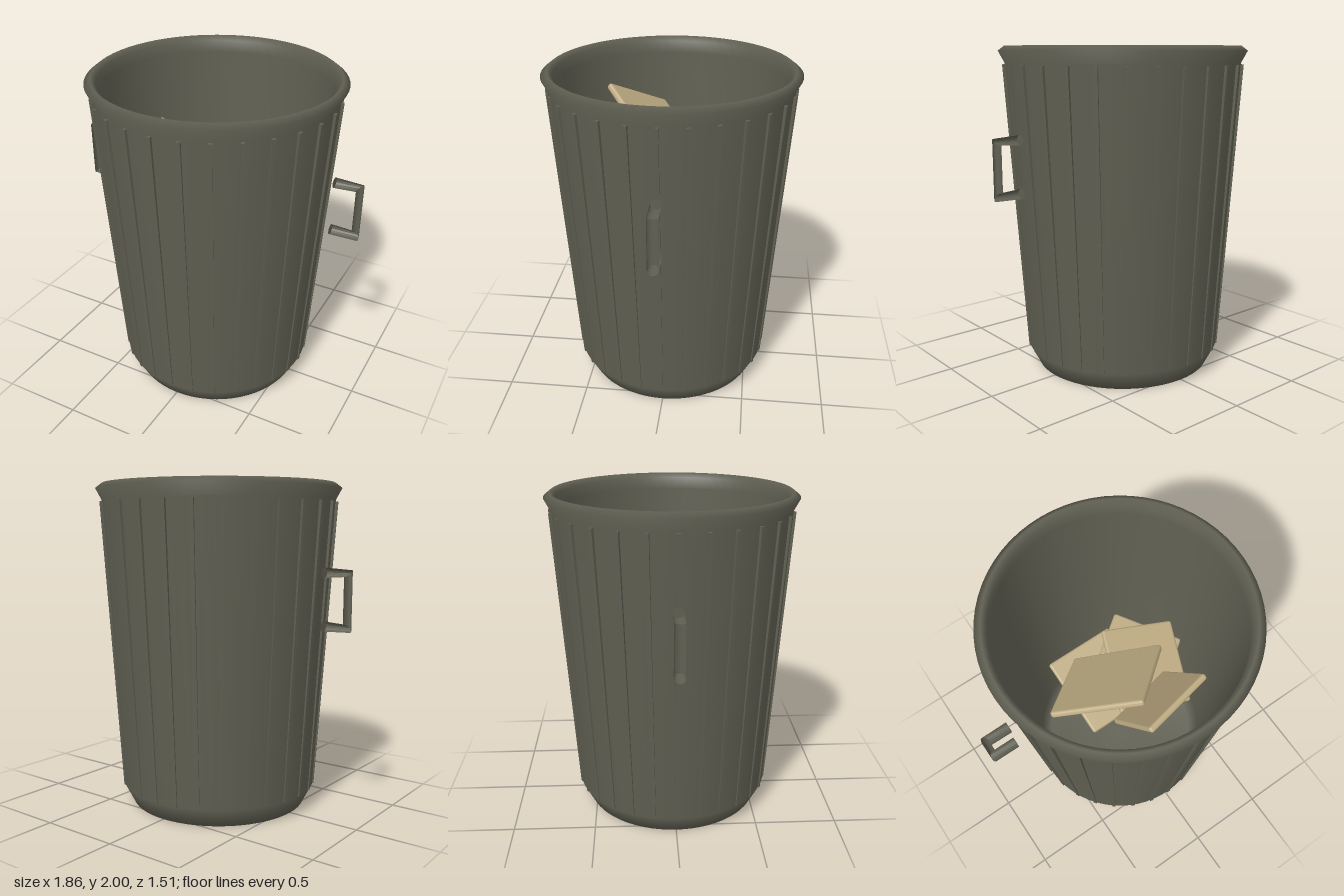
import * as THREE from 'three';
import { RoundedBoxGeometry } from 'three/addons/geometries/RoundedBoxGeometry.js';

const plastic = new THREE.MeshStandardMaterial({ name: 'olive grey plastic', color: 0x605f52 });
const paper = new THREE.MeshStandardMaterial({ name: 'tan card', color: 0xbdab82 });

function add(parent, name, geometry, material) {
  const mesh = new THREE.Mesh(geometry, material);
  mesh.name = name;
  parent.add(mesh);
  return mesh;
}

// One lathed shell: base, outer wall, rolled rim, inner wall, inner floor
function shellGeometry() {
  const profile = [
    [0, 0], [0.55, 0], [0.612, 0.12], [0.72, 1.9], [0.757, 1.97], [0.718, 2.0],
    [0.69, 1.97], [0.685, 1.9], [0.575, 0.14], [0.52, 0.05], [0, 0.05],
  ].map(([r, y]) => new THREE.Vector2(r, y));
  return new THREE.LatheGeometry(profile, 64);
}

// Handle: elliptical cross-sections, each given by its outer and inner point,
// mitred at the two corners
function handleGeometry() {
  const sections = [
    [0.755, 1.508, 0.755, 1.448], [0.928, 1.498, 0.886, 1.458],
    [0.928, 1.146, 0.886, 1.19], [0.755, 1.14, 0.755, 1.2],
  ];
  const sides = 16, halfDepth = 0.033, positions = [], index = [];
  for (const [ox, oy, ix, iy] of sections) {
    for (let i = 0; i < sides; i++) {
      const a = (i / sides) * Math.PI * 2, c = Math.cos(a);
      positions.push((ox + ix) / 2 + c * (ox - ix) / 2, (oy + iy) / 2 + c * (oy - iy) / 2,
        halfDepth * Math.sin(a));
    }
  }
  for (let s = 0; s < sections.length - 1; s++) {
    for (let i = 0; i < sides; i++) {
      const a = s * sides + i, b = s * sides + (i + 1) % sides;
      index.push(a, a + sides, b, b, a + sides, b + sides);
    }
  }
  // End caps
  const last = (sections.length - 1) * sides;
  for (let i = 1; i < sides - 1; i++) {
    index.push(0, i, i + 1, last, last + i + 1, last + i);
  }
  const indexed = new THREE.BufferGeometry();
  indexed.setAttribute('position', new THREE.Float32BufferAttribute(positions, 3));
  indexed.setIndex(index);
  // Keep the mitred corners crisp along the length, smooth around it
  const geometry = indexed.toNonIndexed();
  geometry.computeVertexNormals();
  return geometry;
}

// A card lying along directions u and v
function addCard(parent, name, center, u, v) {
  const x = new THREE.Vector3(...u).normalize();
  const y = new THREE.Vector3(...v).cross(x).normalize();
  const z = new THREE.Vector3().crossVectors(x, y);
  const size = (d) => Math.hypot(...d);
  const mesh = add(parent, name, new RoundedBoxGeometry(size(u), 0.04, size(v), 3, 0.016), paper);
  mesh.quaternion.setFromRotationMatrix(new THREE.Matrix4().makeBasis(x, y, z));
  mesh.position.set(...center);
}

export function createModel() {
  const model = new THREE.Group();
  model.name = 'wasteBin';

  add(model, 'shell', shellGeometry(), plastic);

  // Vertical ribs leaning out with the wall
  const ribs = new THREE.Group();
  ribs.name = 'ribs';
  model.add(ribs);
  const ribCount = 28, lean = Math.atan2(0.117, 1.77);
  const ribGeometry = new THREE.BoxGeometry(0.022, 1.774, 0.03);
  ribGeometry.rotateX(lean).translate(0, 1.005, 0.662);
  for (let i = 0; i < ribCount; i++) {
    add(ribs, 'rib', ribGeometry, plastic).rotation.y = (i / ribCount) * Math.PI * 2;
  }

  // Side handles
  const handle = handleGeometry();
  add(model, 'leftHandle', handle, plastic);
  add(model, 'rightHandle', handle, plastic).rotation.y = Math.PI;

  // Loose cards inside, lowest first
  const cards = new THREE.Group();
  cards.name = 'cards';
  model.add(cards);
  addCard(cards, 'bottomCard', [-0.04, 0.78, -0.165], [0.48, 0, 0], [0, -0.1, 0.54]);
  addCard(cards, 'backCard', [0.19, 0.88, -0.105], [0.28, -0.08, 0.38], [-0.44, -0.02, 0.33]);
  addCard(cards, 'sideCard', [0.21, 1.0, -0.01], [0.44, -0.1, 0.16], [-0.16, -0.08, 0.52]);
  addCard(cards, 'frontCard', [0.07, 1.3, 0.3], [0.45, 0, -0.09], [-0.09, -0.47, -0.27]);
  addCard(cards, 'topCard', [-0.17, 1.6, 0.12], [-0.41, -0.23, -0.29], [0.31, -0.25, -0.3]);

  return model;
}
